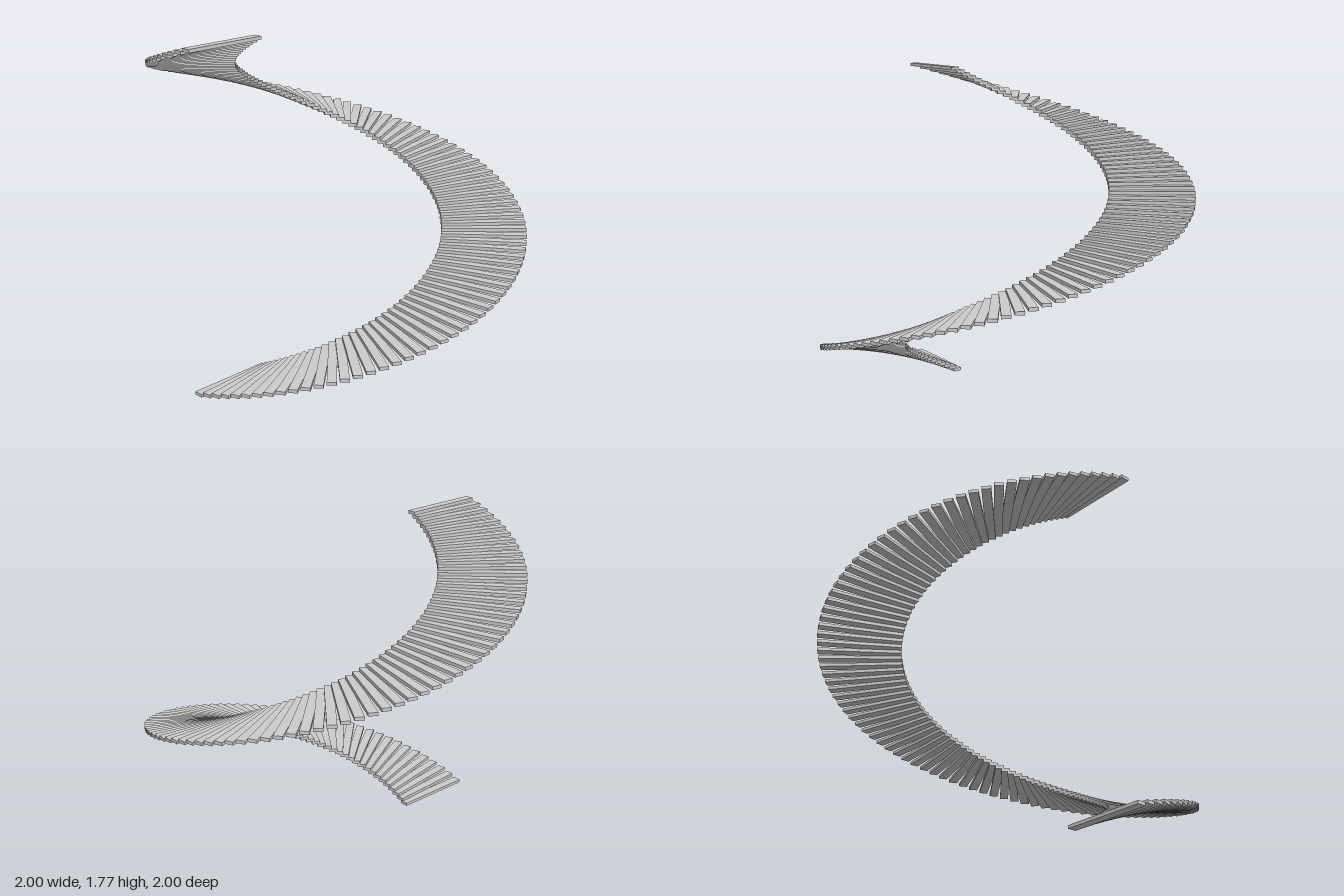
import * as THREE from 'three';

// Spiral staircase: identical plank treads winding one full turn.
export function createModel() {
  const model = new THREE.Group();
  model.name = 'spiralStaircase';

  const steps = 100;            // intervals in one turn
  const rise = 1.775 / (steps + 1);
  const inner = 0.545, outer = 1, width = 0.048;

  // Tread lies along +z, its edge beside the radial line
  const tread = new THREE.BoxGeometry(width, rise, outer - inner);
  tread.translate(-0.031, rise / 2, (inner + outer) / 2);
  const material = new THREE.MeshStandardMaterial({ color: 0xcccccc, flatShading: true });

  for (let i = 0; i <= steps; i++) {
    const step = new THREE.Mesh(tread, material);
    step.name = `tread${i + 1}`;
    step.position.y = i * rise;
    step.rotation.y = (i / steps) * Math.PI * 2;
    model.add(step);
  }
  return model;
}
